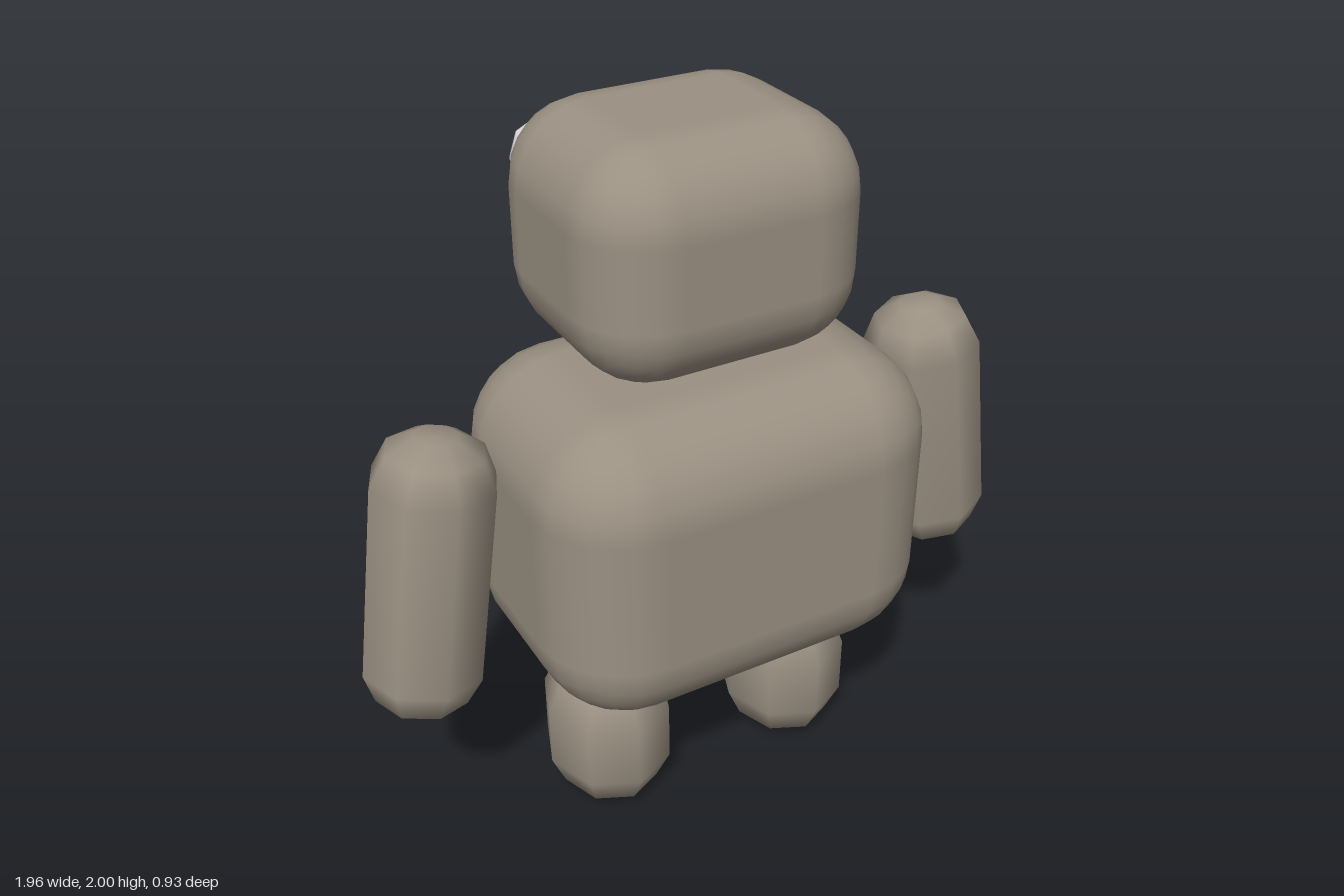
import * as THREE from 'three';
import { RoundedBoxGeometry } from 'three/addons/geometries/RoundedBoxGeometry.js';

const mat = (name, color) => {
  const m = new THREE.MeshStandardMaterial({ color });
  m.name = name;
  return m;
};

// Chunky low-poly capsule with a small flat on each end, centred on the origin.
function limbGeometry(radius, height) {
  const h = height / 2;
  const cap = [[0, 0], [0.35, 0.015], [0.78, 0.26], [1, 0.78]];
  const bottom = cap.map(([r, d]) => new THREE.Vector2(r * radius, -h + d * radius));
  const top = cap.map(([r, d]) => new THREE.Vector2(r * radius, h - d * radius)).reverse();
  return new THREE.LatheGeometry([...bottom, ...top], 8);
}

export function createModel() {
  const group = new THREE.Group();
  const stone = mat('stone', 0x9a9082);
  const amber = mat('amber', 0xd2a263);
  const white = mat('eyeWhite', 0xdadada);
  const dark = mat('darkPurple', 0x50465f);

  const add = (name, geometry, material, x, y, z) => {
    const mesh = new THREE.Mesh(geometry, material);
    mesh.name = name;
    mesh.position.set(x, y, z);
    group.add(mesh);
    return mesh;
  };

  // Low-poly ellipsoid with its pole along z
  const ellipsoid = (name, material, pos, size, segments = 8, rings = 6) => {
    const g = new THREE.SphereGeometry(1, segments, rings);
    g.rotateX(Math.PI / 2);
    g.scale(...size);
    return add(name, g, material, ...pos);
  };

  // Body and head
  add('body', new RoundedBoxGeometry(1.125, 0.89, 0.82, 3, 0.25), stone, 0, 0.92, 0.055);
  add('head', new RoundedBoxGeometry(0.78, 0.625, 0.685, 3, 0.208), stone, 0, 1.688, -0.018);

  const armGeometry = limbGeometry(0.165, 0.81);
  const legGeometry = limbGeometry(0.18, 0.46);
  legGeometry.scale(1, 1, 1.13);

  for (const [side, s] of [['left', 1], ['right', -1]]) {
    // Arms splay out towards the hands
    const arm = add(side + 'Arm', armGeometry, stone, s * 0.778, 0.92, 0.05);
    arm.rotation.z = s * 0.147;
    add(side + 'Leg', legGeometry, stone, s * 0.297, 0.23, 0.053);

    // Eyes: white, pupil and a glint on the same side of each pupil
    ellipsoid(side + 'Eye', white, [s * 0.222, 1.79, -0.377], [0.084, 0.1, 0.052]);
    ellipsoid(side + 'Pupil', dark, [s * 0.22, 1.785, -0.425], [0.044, 0.052, 0.03]);
    ellipsoid(side + 'Glint', white, [s * 0.222 - 0.018, 1.808, -0.453], [0.013, 0.013, 0.01], 6, 4);
  }

  // Smile, with closed ends
  const smile = new THREE.QuadraticBezierCurve3(
    new THREE.Vector3(-0.1, 1.59, -0.392),
    new THREE.Vector3(0, 1.515, -0.392),
    new THREE.Vector3(0.1, 1.59, -0.392)
  );
  add('mouth', new THREE.TubeGeometry(smile, 8, 0.017, 6), dark, 0, 0, 0);
  for (const x of [-0.1, 0.1]) {
    ellipsoid('mouthEnd', dark, [x, 1.59, -0.392], [0.017, 0.017, 0.017], 6, 4);
  }

  // Chest patch
  ellipsoid('chestPatch', amber, [0, 0.972, -0.365], [0.18, 0.194, 0.078]);

  return group;
}
